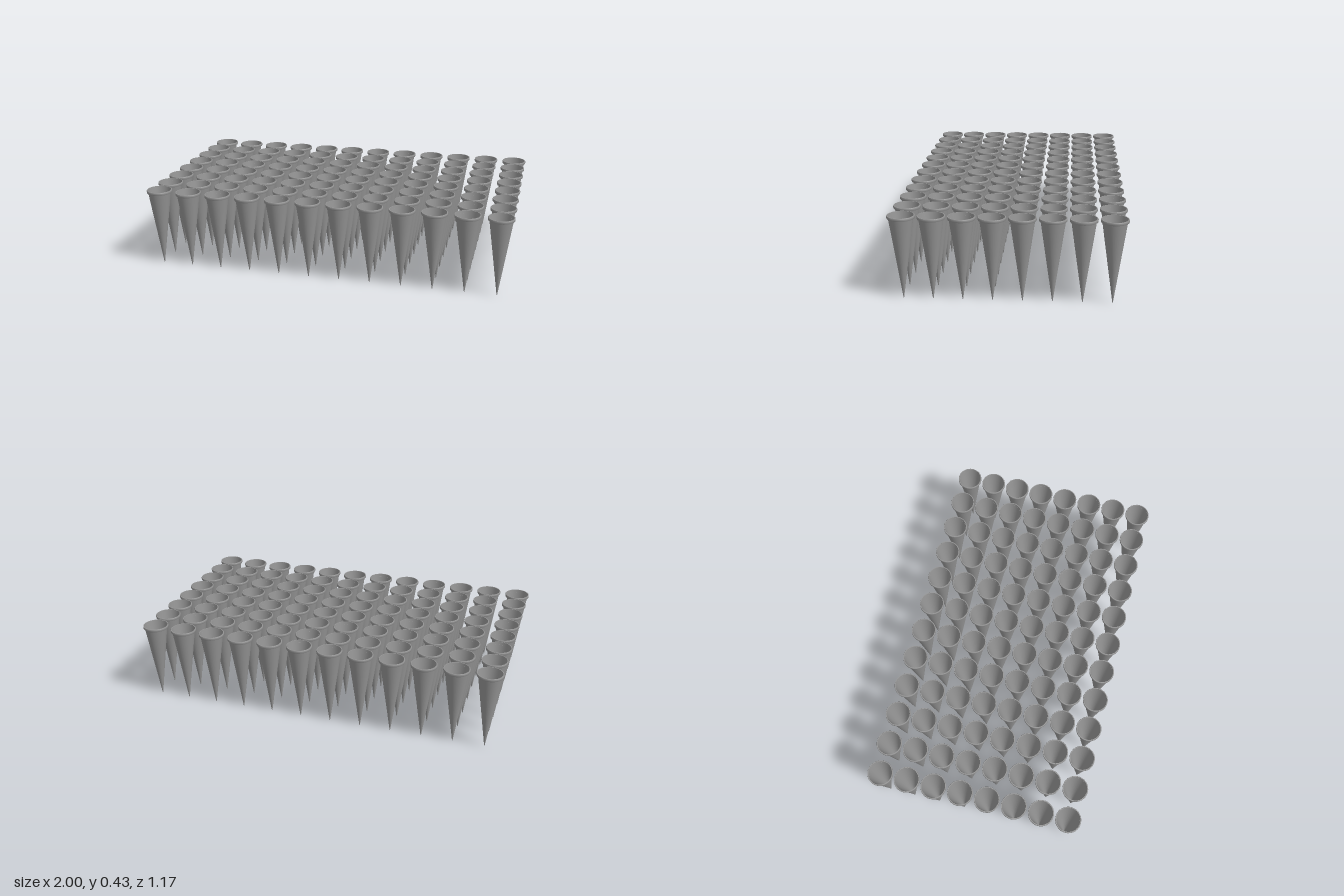
import * as THREE from 'three';
import { toCreasedNormals } from 'three/addons/utils/BufferGeometryUtils.js';

const COLS = 12, ROWS = 8, SIDES = 32;
const HEIGHT = 0.43, MOUTH_R = 0.0635, TIP_R = 0.0015;
const X_END = 0.931, Z_END = 0.516;

export function createModel() {
  const group = new THREE.Group();
  group.name = 'coneArray';
  const material = new THREE.MeshStandardMaterial({ color: 0x949494, side: THREE.DoubleSide });

  // Thin hollow cone, open at the top, pointing down
  const shellGeometry = new THREE.CylinderGeometry(MOUTH_R, TIP_R, HEIGHT, SIDES, 1, true);
  shellGeometry.translate(0, HEIGHT / 2, 0);

  // Narrow band with softened edges around the outside of the mouth
  const rimProfile = [
    [0.0612, 0.415], [0.0675, 0.415], [0.0688, 0.4175],
    [0.0688, 0.4275], [0.0675, HEIGHT], [MOUTH_R, HEIGHT],
  ].map(([r, y]) => new THREE.Vector2(r, y));
  const rimGeometry = toCreasedNormals(new THREE.LatheGeometry(rimProfile, SIDES), 0.6);

  // Regular grid of cones
  for (let row = 0; row < ROWS; row++) {
    for (let col = 0; col < COLS; col++) {
      const cone = new THREE.Group();
      cone.name = `cone row ${row + 1} column ${col + 1}`;
      const shell = new THREE.Mesh(shellGeometry, material);
      shell.name = 'coneShell';
      const rim = new THREE.Mesh(rimGeometry, material);
      rim.name = 'coneRim';
      cone.add(shell, rim);
      cone.position.set(
        THREE.MathUtils.lerp(-X_END, X_END, col / (COLS - 1)),
        0,
        THREE.MathUtils.lerp(-Z_END, Z_END, row / (ROWS - 1))
      );
      group.add(cone);
    }
  }
  return group;
}
